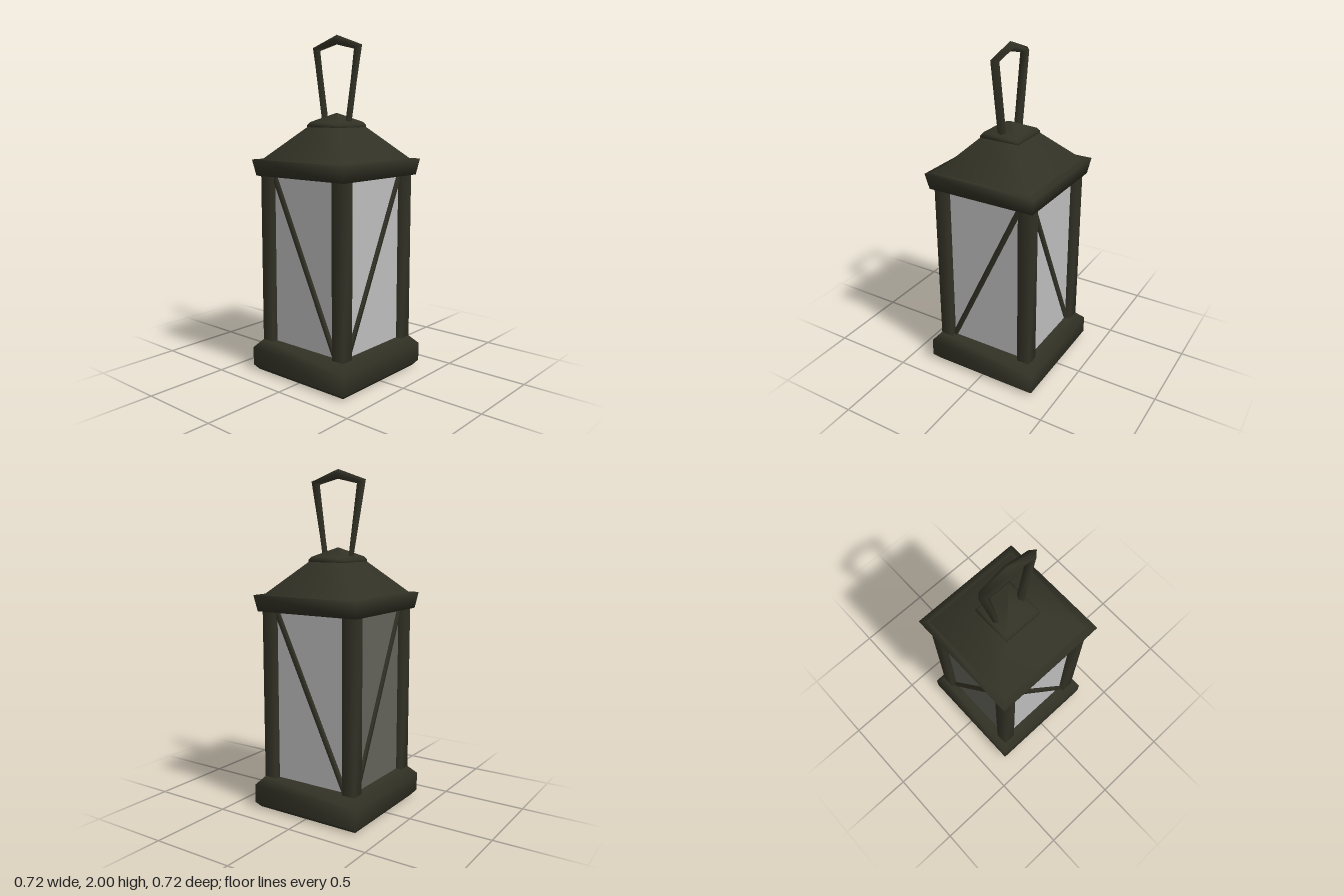
import * as THREE from 'three';
import { mergeVertices } from 'three/addons/utils/BufferGeometryUtils.js';

const material = (name, color) => {
  const m = new THREE.MeshStandardMaterial({ color });
  m.name = name;
  return m;
};

// Four-sided solid from a profile of [half width, height], bottom to top
function squareLoft(profile) {
  const points = profile.map(([half, y]) => new THREE.Vector2(half * Math.SQRT2, y));
  return new THREE.LatheGeometry(points, 4, Math.PI / 4);
}

// Box with normals shared around its corners
function softBox(w, h, d) {
  const box = new THREE.BoxGeometry(w, h, d);
  box.deleteAttribute('normal');
  box.deleteAttribute('uv');
  const soft = mergeVertices(box);
  soft.computeVertexNormals();
  return soft;
}

// Diamond-section handle; each station is [outer x, outer y, inner x, inner y]
function handleGeometry() {
  const half = [[0.097, 1.45, 0.066, 1.45], [0.187, 1.935, 0.128, 1.915]];
  const mirrored = half.map(([a, b, c, d]) => [-a, b, -c, d]).reverse();
  const stations = [...half, [0, 2, 0, 1.945], ...mirrored];
  const positions = [], index = [];
  stations.forEach(([ox, oy, ix, iy], k) => {
    const mx = (ox + ix) / 2, my = (oy + iy) / 2;
    positions.push(ox, oy, 0, mx, my, 0.028, ix, iy, 0, mx, my, -0.028);
    if (k === stations.length - 1) return;
    for (let j = 0; j < 4; j++) {
      const a = k * 4 + j, b = k * 4 + (j + 1) % 4;
      index.push(a, a + 4, b, b, a + 4, b + 4);
    }
  });
  const g = new THREE.BufferGeometry();
  g.setAttribute('position', new THREE.Float32BufferAttribute(positions, 3));
  g.setIndex(index);
  g.computeVertexNormals();
  return g;
}

export function createModel() {
  const model = new THREE.Group();
  model.name = 'lantern';
  const iron = material('dark iron', 0x323226);
  const glass = material('pale glass', 0xbcbcbc);
  const smokedGlass = material('smoked glass', 0x62625a);

  const add = (parent, name, geometry, mat) => {
    const mesh = new THREE.Mesh(geometry, mat);
    mesh.name = name;
    parent.add(mesh);
    return mesh;
  };

  // Base, roof and cap
  add(model, 'base', squareLoft([
    [0, 0], [0.335, 0], [0.36, 0.03], [0.36, 0.14], [0.315, 0.19], [0, 0.19],
  ]), iron);
  add(model, 'eave', squareLoft([
    [0, 1.19], [0.335, 1.19], [0.352, 1.285], [0.305, 1.285],
  ]), iron);
  add(model, 'roof', squareLoft([[0.315, 1.28], [0.12, 1.475], [0, 1.475]]), iron);
  add(model, 'roofCap', squareLoft([
    [0, 1.46], [0.123, 1.46], [0.123, 1.485], [0.11, 1.502], [0, 1.555],
  ]), iron);

  // Carrying handle
  add(model, 'handle', handleGeometry(), iron);

  // Four sides: a corner post, a pane and a diagonal bar each
  for (let i = 0; i < 4; i++) {
    const side = new THREE.Group();
    side.name = ['front', 'left', 'back', 'right'][i] + 'Side';
    side.rotation.y = i * Math.PI / 2;
    model.add(side);

    add(side, 'cornerPost', softBox(0.08, 1.04, 0.08), iron).position.set(0.275, 0.69, 0.275);
    add(side, 'pane', new THREE.BoxGeometry(0.49, 1.01, 0.006), i === 3 ? smokedGlass : glass)
      .position.set(0, 0.69, 0.275);

    const bar = add(side, 'diagonalBar', softBox(0.03, 1.11, 0.03), iron);
    bar.position.set(0, 0.69, 0.275);
    bar.rotation.z = Math.atan2(0.47, 1) * (i % 2 ? -1 : 1);
  }
  return model;
}
